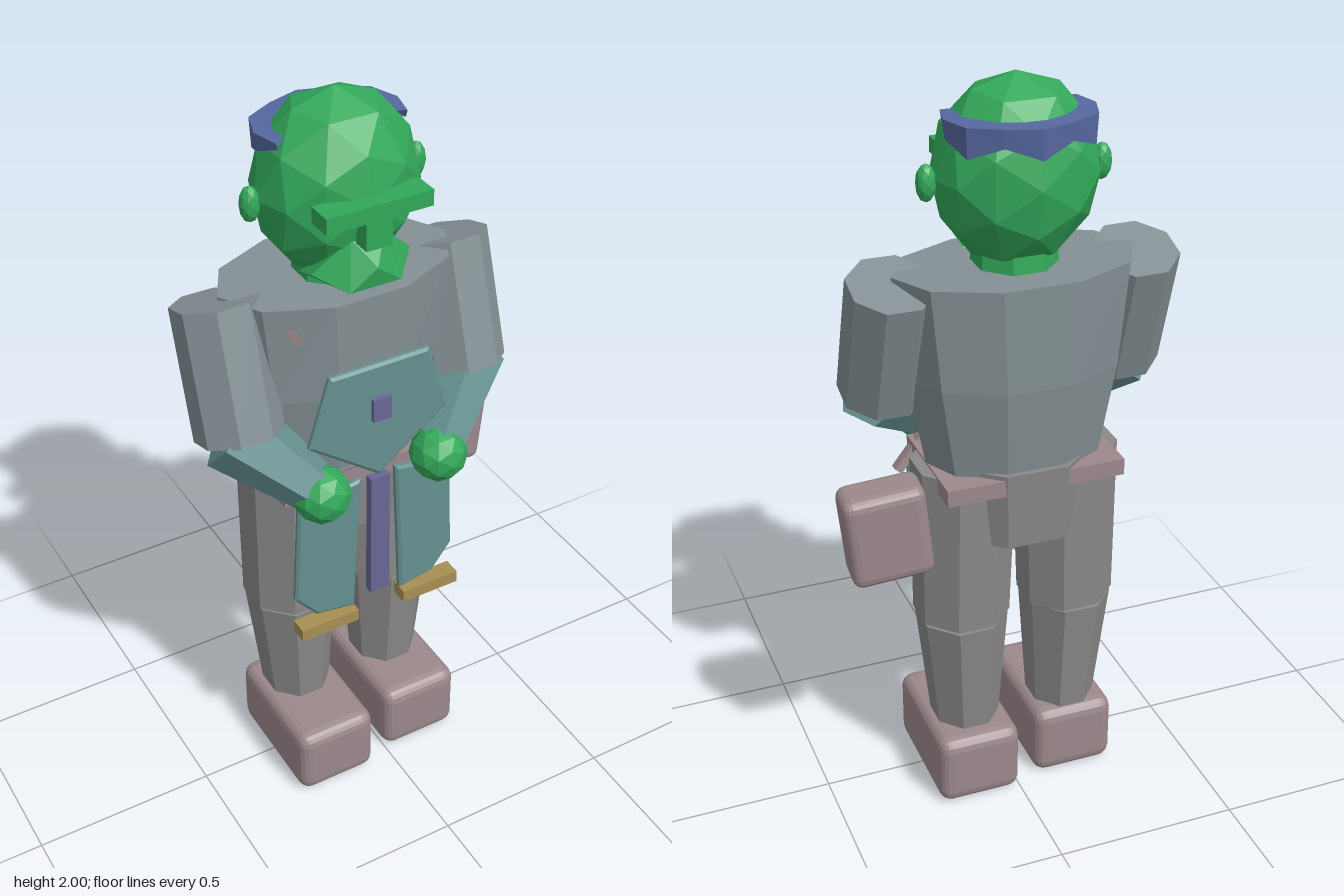
import * as THREE from 'three';
import { RoundedBoxGeometry } from 'three/addons/geometries/RoundedBoxGeometry.js';
import { ConvexGeometry } from 'three/addons/geometries/ConvexGeometry.js';

const mat = (color) => new THREE.MeshStandardMaterial({ color, flatShading: true });
const V = (x, y, z) => new THREE.Vector3(x, y, z);

export function createModel() {
  const root = new THREE.Group();
  root.name = 'figure';
  // The body is symmetric about a line slightly off the model centre
  const body = new THREE.Group();
  body.name = 'body';
  body.position.x = -0.03;
  root.add(body);

  const skin = mat(0x32a85a), cloth = mat(0x849094), trouser = mat(0x8b8989);
  const leather = mat(0x9c898c), teal = mat(0x64908f), sleeve = mat(0x64908f);
  const violet = mat(0x6a6696), blue = mat(0x5668a0), gold = mat(0xa88f52);

  const add = (name, geo, m, x = 0, y = 0, z = 0) => {
    const mesh = new THREE.Mesh(geo, m);
    mesh.name = name;
    mesh.position.set(x, y, z);
    body.add(mesh);
    return mesh;
  };
  const box = (name, w, h, d, m, x, y, z) => add(name, new THREE.BoxGeometry(w, h, d), m, x, y, z);
  const ball = (name, rx, ry, rz, detail, m, x, y, z) =>
    add(name, new THREE.IcosahedronGeometry(1, detail).scale(rx, ry, rz), m, x, y, z);
  // Faceted column with a flat side to the front; radii measured to the flats
  const column = (r1, r2, h, sides, rows = 1) => {
    const k = 1 / Math.cos(Math.PI / sides);
    return new THREE.CylinderGeometry(r1 * k, r2 * k, h, sides, rows).rotateY(Math.PI / sides);
  };
  // Tapered limb running from a to b
  const limb = (name, a, b, r1, r2, sides, m) => {
    const mid = a.clone().add(b).multiplyScalar(0.5);
    const mesh = add(name, column(r1, r2, a.distanceTo(b), sides), m, mid.x, mid.y, mid.z);
    mesh.quaternion.setFromUnitVectors(V(0, 1, 0), a.clone().sub(b).normalize());
    return mesh;
  };
  // Thin cloth panel cut from an outline
  const panel = (name, pts, z, m) => {
    const shape = new THREE.Shape(pts.map(([x, y]) => new THREE.Vector2(x, y)));
    const geo = new THREE.ExtrudeGeometry(shape, {
      depth: 0.01, bevelEnabled: true, bevelThickness: 0.006, bevelSize: 0.008, bevelOffset: -0.008, bevelSegments: 1,
    });
    return add(name, geo, m, 0, 0, z);
  };

  // Torso: ten sides, narrowing towards the waist
  const torsoGeo = column(1, 1, 0.55, 10, 2);
  const p = torsoGeo.attributes.position;
  for (let i = 0; i < p.count; i++) {
    const y = p.getY(i);
    const [sx, sz] = y > 0.1 ? [0.305, 0.185] : y > -0.1 ? [0.275, 0.182] : [0.225, 0.15];
    p.setX(i, p.getX(i) * sx);
    p.setZ(i, p.getZ(i) * sz);
  }
  add('torso', torsoGeo, cloth, 0, 1.253, -0.06);
  add('neck', column(0.095, 0.105, 0.1, 8), skin, 0, 1.545, -0.055);

  // Hips and belt
  add('hips', column(1, 0.9, 0.22, 8).scale(0.2, 1, 0.165), trouser, 0, 0.91, -0.065);
  box('belt', 0.48, 0.045, 0.325, leather, 0, 0.985, -0.062);

  // Head, brow, nose and chin
  ball('head', 0.213, 0.24, 0.183, 1, skin, 0, 1.76, -0.055);
  box('brow', 0.285, 0.042, 0.07, skin, 0, 1.772, 0.125);
  box('nose', 0.07, 0.08, 0.06, skin, 0, 1.715, 0.125);
  const beard = [V(0, 1.62, 0.15), V(0, 1.54, 0.09), V(0, 1.53, -0.03)];
  for (const s of [-1, 1]) {
    beard.push(V(s * 0.045, 1.685, 0.1), V(s * 0.07, 1.565, 0.14), V(s * 0.135, 1.6, 0.07), V(s * 0.12, 1.56, -0.02));
  }
  add('beard', new ConvexGeometry(beard), skin);

  // Jagged hair fringe wrapping the back of the head
  const steps = 8, pos = [], idx = [];
  for (let i = 0; i <= steps; i++) {
    const a = THREE.MathUtils.degToRad(-105 + 210 * i / steps);
    const end = i === 0 || i === steps;
    const out = end ? 0.9 : i % 2 ? 0.98 : 1.04;
    const low = end ? 1.895 : i % 2 ? 1.865 : 1.835;
    const at = (f, y) => pos.push(Math.sin(a) * 0.2 * f, y, -0.055 - Math.cos(a) * 0.178 * f);
    at(out, 1.912); at(out * 0.98, low); at(0.68, 1.915);
    if (i < steps) for (let j = 0; j < 3; j++) {
      const q = i * 3 + j, r = i * 3 + (j + 1) % 3;
      idx.push(q, q + 3, r, r, q + 3, r + 3);
    }
  }
  const hairGeo = new THREE.BufferGeometry();
  hairGeo.setAttribute('position', new THREE.Float32BufferAttribute(pos, 3));
  hairGeo.setIndex(idx);
  hairGeo.computeVertexNormals();
  blue.side = THREE.DoubleSide;
  add('hair', hairGeo, blue);

  for (const s of [-1, 1]) {
    const side = s > 0 ? 'left' : 'right';
    ball(side + 'Ear', 0.026, 0.048, 0.025, 1, skin, s * 0.226, 1.753, -0.057);

    // Arm folded in to the waist
    limb(side + 'UpperArm', V(s * 0.322, 1.515, -0.07), V(s * 0.325, 1.185, 0.035), 0.105, 0.105, 8, cloth);
    limb(side + 'Forearm', V(s * 0.345, 1.2, 0.03), V(s * 0.19, 1.05, 0.15), 0.09, 0.06, 6, sleeve);
    ball(side + 'Hand', 0.077, 0.077, 0.077, 1, skin, s * 0.172, 1.03, 0.17);

    // Leg in two parts, with a thin seam at the knee
    limb(side + 'Thigh', V(s * 0.142, 1.0, -0.06), V(s * 0.15, 0.545, -0.06), 0.128, 0.12, 8, trouser);
    const shin = limb(side + 'Shin', V(s * 0.15, 0.542, -0.06), V(s * 0.142, 0.17, -0.056), 0.115, 0.084, 8, trouser);
    shin.scale.z = 1.08;
    add(side + 'Boot', new RoundedBoxGeometry(0.232, 0.205, 0.375, 2, 0.035), leather,
      s * 0.145, 0.1025, s > 0 ? -0.018 : 0.014);

    // Lower apron flap with a trim bar
    const flap = [[0.05, 1.02], [0.07, 0.6], [0.18, 0.61], [0.24, 0.68], [0.225, 0.98]].map(([x, y]) => [s * x, y]);
    panel(side + 'ApronFlap', flap, 0.15, teal).rotation.y = s * 0.08;
    box(side + 'FlapTrim', 0.17, 0.036, 0.05, gold, s * 0.155, 0.583, 0.155);
  }

  // Apron bib with stud, and the hanging strap
  panel('apronBib', [[-0.14, 1.36], [-0.2, 1.17], [0, 1.02], [0.2, 1.17], [0.14, 1.36]], 0.15, teal);
  box('bibStud', 0.052, 0.065, 0.03, violet, 0, 1.232, 0.163);
  box('centreStrap', 0.055, 0.38, 0.025, violet, 0, 0.825, 0.158);

  // Side bag, belt peg and chest pin
  const bag = add('bag', new RoundedBoxGeometry(0.215, 0.255, 0.125, 2, 0.028), leather, 0.378, 0.878, -0.133);
  bag.rotation.set(0, -0.08, -0.1);
  const peg = box('beltPeg', 0.022, 0.11, 0.03, leather, 0.245, 0.97, 0.07);
  peg.rotation.set(0.1, 0, 0.7);
  const pin = box('chestPin', 0.02, 0.045, 0.02, leather, -0.185, 1.45, 0.075);
  pin.rotation.set(0, -0.5, 0.6);

  return root;
}
